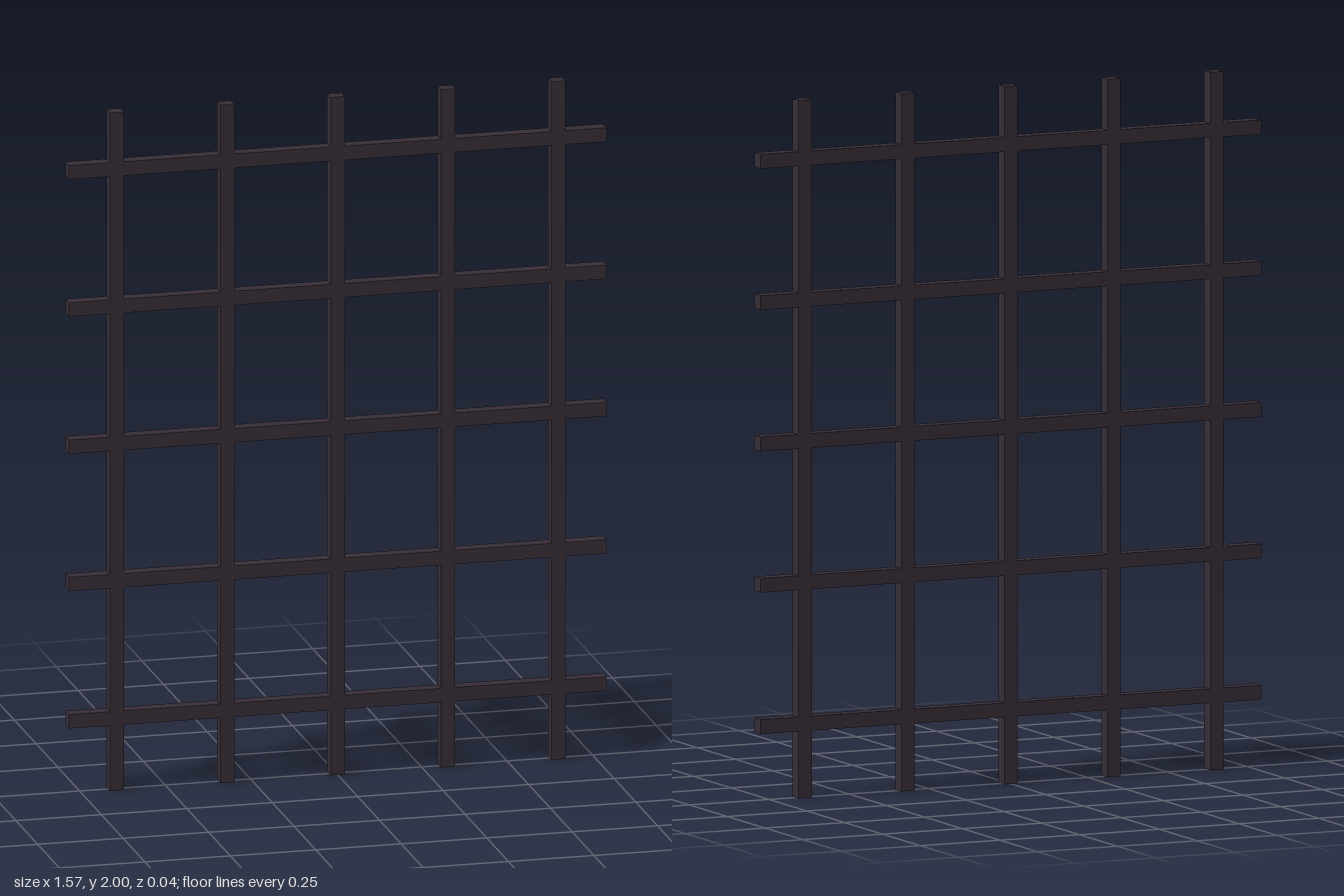
import * as THREE from 'three';

export function createModel() {
  const group = new THREE.Group();
  group.name = 'barGrille';
  const iron = new THREE.MeshStandardMaterial({ color: 0x362d36 });
  iron.name = 'dark iron';

  const thickness = 0.041;
  const uprightGeometry = new THREE.BoxGeometry(thickness, 2, thickness);
  const crossbarGeometry = new THREE.BoxGeometry(1.572, thickness, thickness);

  function addBar(name, geometry, x, y) {
    const bar = new THREE.Mesh(geometry, iron);
    bar.name = name;
    bar.position.set(x, y, 0);
    group.add(bar);
  }

  // Five uprights crossed by five horizontal bars in the same plane
  for (let i = 0; i < 5; i++) {
    addBar(`upright${i + 1}`, uprightGeometry, (i - 2) * 0.323, 1);
    addBar(`crossbar${i + 1}`, crossbarGeometry, 0, 1.023 + (i - 2) * 0.405);
  }
  return group;
}
